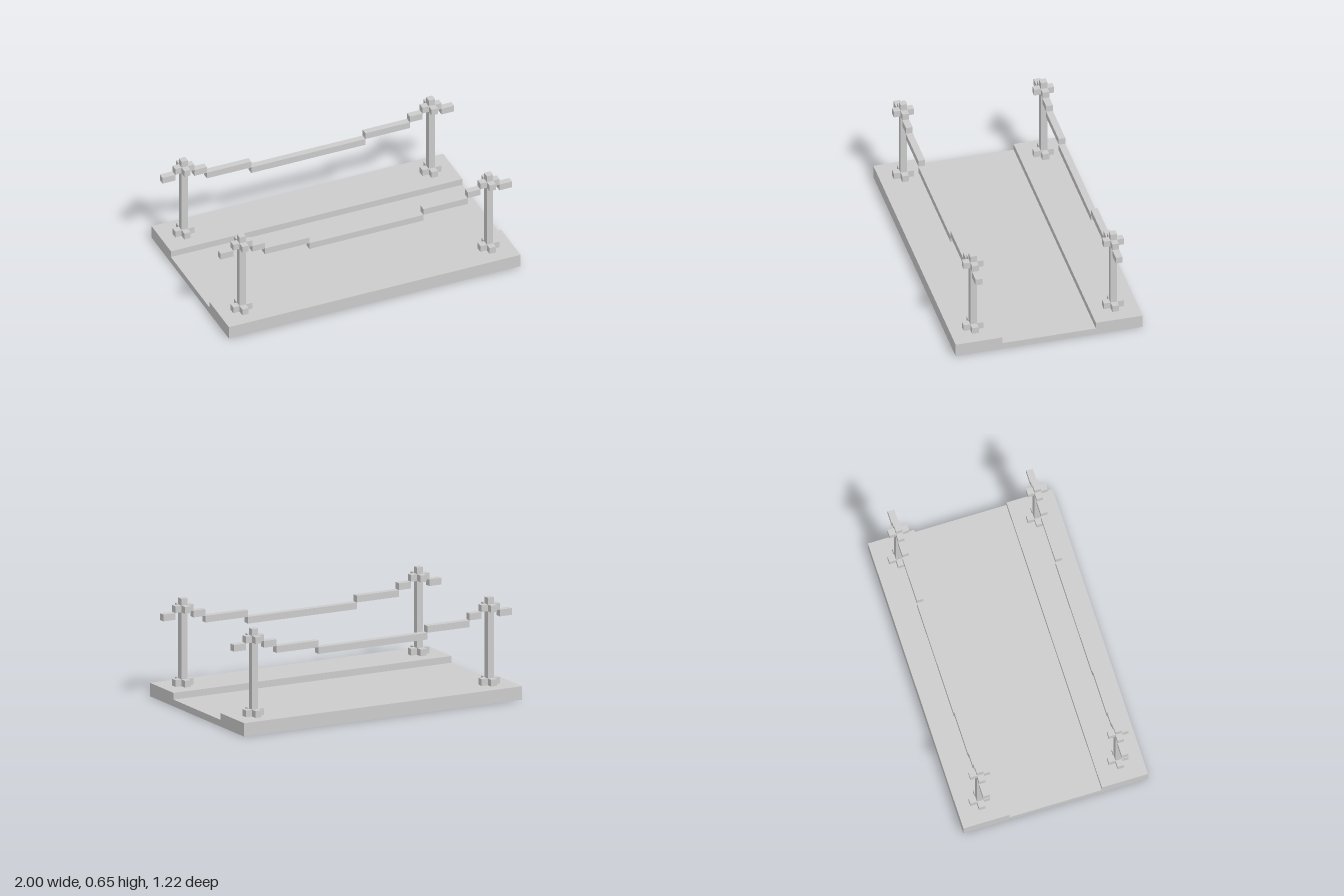
import * as THREE from 'three';

const U = 2 / 46; // one block
const material = new THREE.MeshStandardMaterial({ color: 0xcccccc, flatShading: true });

// Box given by its lower and upper corners, in blocks
function block(name, [x0, y0, z0], [x1, y1, z1]) {
  const geometry = new THREE.BoxGeometry((x1 - x0) * U, (y1 - y0) * U, (z1 - z0) * U);
  const mesh = new THREE.Mesh(geometry, material);
  mesh.position.set((x0 + x1) / 2, (y0 + y1) / 2, (z0 + z1) / 2).multiplyScalar(U);
  mesh.name = name;
  return mesh;
}

// Four one-block arms around the post at height y
function collar(name, y) {
  const group = new THREE.Group();
  group.name = name;
  for (const [dx, dz] of [[1, 0], [-1, 0], [0, 1], [0, -1]]) {
    group.add(block(name + 'Arm', [dx - 0.5, y, dz - 0.5], [dx + 0.5, y + 1, dz + 0.5]));
  }
  return group;
}

// Upright with a foot collar and a head collar
function createPost() {
  const post = new THREE.Group();
  post.name = 'post';
  post.add(block('postShaft', [-0.5, 2, -0.5], [0.5, 15, 0.5]));
  post.add(collar('footCollar', 2), collar('headCollar', 13));
  return post;
}

// Stepped sagging rail with its two posts
function createRailing() {
  const railing = new THREE.Group();
  railing.name = 'railing';
  railing.add(block('railMiddle', [-9, 10, -0.5], [9, 11, 0.5]));
  for (const side of [-1, 1]) {
    for (const [name, from, to, y] of [
      ['railLowerStep', 9, 16, 11],
      ['railUpperStep', 16, 18, 12],
      ['railEnd', 21, 23, 12],
    ]) {
      const a = side * from, b = side * to;
      railing.add(block(name, [Math.min(a, b), y, -0.5], [Math.max(a, b), y + 1, 0.5]));
    }
    const post = createPost();
    post.position.x = side * 19.5 * U;
    railing.add(post);
  }
  return railing;
}

// Roadway with a raised walkway along each edge
function createDeck() {
  const profile = [[-14, 0], [14, 0], [14, 2], [7, 2], [7, 1], [-7, 1], [-7, 2], [-14, 2]];
  const shape = new THREE.Shape(profile.map(([z, y]) => new THREE.Vector2(z * U, y * U)));
  const geometry = new THREE.ExtrudeGeometry(shape, { depth: 46 * U, bevelEnabled: false });
  geometry.translate(0, 0, -23 * U).rotateY(Math.PI / 2);
  const deck = new THREE.Mesh(geometry, material);
  deck.name = 'deck';
  return deck;
}

export function createModel() {
  const model = new THREE.Group();
  model.name = 'bridge';
  model.add(createDeck());
  for (const side of [-1, 1]) {
    const railing = createRailing();
    railing.position.z = side * 10.5 * U;
    model.add(railing);
  }
  return model;
}
